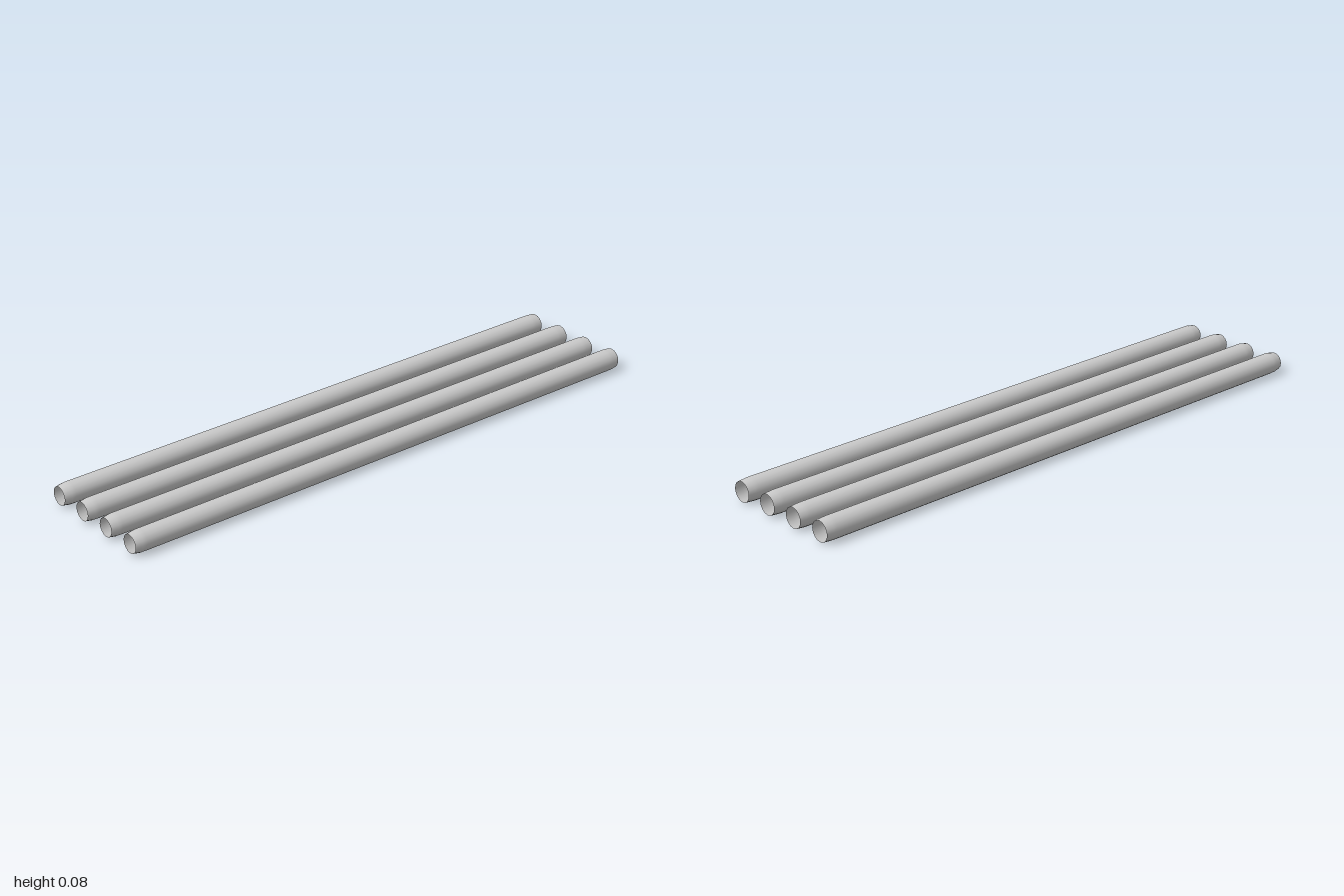
import * as THREE from 'three';

export function createModel() {
  const group = new THREE.Group();
  const material = new THREE.MeshStandardMaterial({ color: 0xcccccc, side: THREE.DoubleSide });

  // Open tube, slightly tapered along its length with drawn-in ends: [x, radius]
  const profile = [[-1, 0.031], [-0.975, 0.0355], [-0.96, 0.036], [0.96, 0.0375], [0.975, 0.037], [1, 0.0345]];
  const geometry = new THREE.LatheGeometry(profile.map(([x, r]) => new THREE.Vector2(r, x)), 16);
  geometry.rotateZ(-Math.PI / 2);

  // Four parallel tubes side by side
  const spacing = 0.1255;
  for (let i = 0; i < 4; i++) {
    const tube = new THREE.Mesh(geometry, material);
    tube.name = `tube${i + 1}`;
    tube.position.set(0, 0.0375, (1.5 - i) * spacing);
    group.add(tube);
  }
  return group;
}
